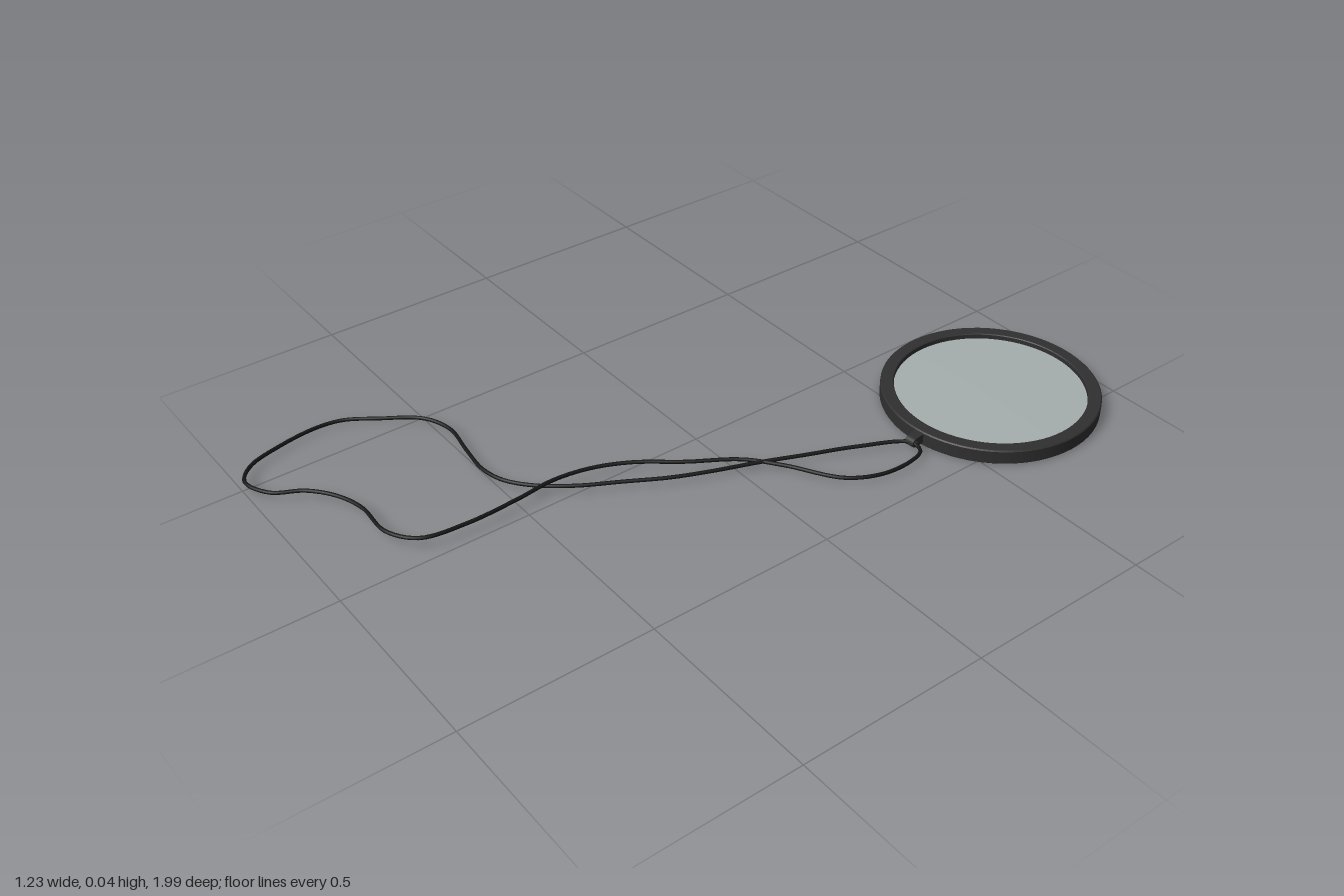
import * as THREE from 'three';
import { toCreasedNormals } from 'three/addons/utils/BufferGeometryUtils.js';

const CENTRE = new THREE.Vector3(0.325, 0, -0.715);

function part(name, geometry, color) {
  const mesh = new THREE.Mesh(geometry, new THREE.MeshStandardMaterial({ color }));
  mesh.name = name;
  return mesh;
}

function lathe(points, segments = 72) {
  const profile = points.map(([r, y]) => new THREE.Vector2(r, y));
  return toCreasedNormals(new THREE.LatheGeometry(profile, segments), 0.6);
}

export function createModel() {
  const model = new THREE.Group();
  model.name = 'eyeglass';

  // Round frame, glass and cord lug share the centre of the lens
  const eyepiece = new THREE.Group();
  eyepiece.name = 'eyepiece';
  eyepiece.position.copy(CENTRE);
  model.add(eyepiece);

  // Frame: a flat-sided ring with tiny bevels
  eyepiece.add(part('rim', lathe([
    [0.25, 0.002], [0.252, 0], [0.282, 0], [0.285, 0.003],
    [0.285, 0.037], [0.282, 0.04], [0.252, 0.04], [0.25, 0.038], [0.25, 0.002],
  ]), 0x303030));

  // Glass: a slightly domed disc seated in the ring
  eyepiece.add(part('lens', lathe([
    [0, 0.011], [0.13, 0.012], [0.252, 0.014],
    [0.252, 0.026], [0.13, 0.028], [0, 0.029],
  ]), 0xa6aeae));

  // Lug: a small pierced block on the edge of the frame
  const outline = new THREE.Shape();
  outline.moveTo(0.278, -0.013);
  outline.lineTo(0.312, -0.013);
  outline.absarc(0.312, 0, 0.013, -Math.PI / 2, Math.PI / 2, false);
  outline.lineTo(0.278, 0.013);
  outline.closePath();
  const eye = new THREE.Path();
  eye.absarc(0.313, 0, 0.007, 0, Math.PI * 2, true);
  outline.holes.push(eye);
  const lugGeometry = new THREE.ExtrudeGeometry(outline, { depth: 0.026, bevelEnabled: false, curveSegments: 10 });
  lugGeometry.translate(0, 0, -0.013);
  const lug = part('cordLug', lugGeometry, 0x303030);
  lug.position.y = 0.022;
  lug.rotation.y = -Math.atan2(0.32, 0.035);
  eyepiece.add(lug);

  // Cord: a closed loose loop through the lug, as x, y, z
  const path = [
    [0.36, 0.021, -0.4], [0.29, 0.02, -0.28], [0.24, 0.02, -0.16], [0.195, 0.021, -0.05],
    [0.15, 0.021, 0.07], [0.11, 0.022, 0.165], [0.055, 0.023, 0.265], [0, 0.024, 0.365],
    [-0.065, 0.023, 0.445], [-0.13, 0.021, 0.49], [-0.2, 0.019, 0.505], [-0.29, 0.018, 0.495],
    [-0.4, 0.016, 0.48], [-0.48, 0.015, 0.51], [-0.55, 0.014, 0.6], [-0.6, 0.013, 0.675],
    [-0.61, 0.014, 0.745], [-0.59, 0.017, 0.86], [-0.555, 0.02, 0.95], [-0.5, 0.022, 0.99],
    [-0.425, 0.023, 0.96], [-0.38, 0.024, 0.89], [-0.315, 0.025, 0.84], [-0.235, 0.027, 0.815],
    [-0.12, 0.029, 0.815], [-0.05, 0.03, 0.765], [-0.03, 0.03, 0.65], [-0.035, 0.03, 0.505],
    [-0.045, 0.03, 0.4], [-0.03, 0.029, 0.3], [0.01, 0.027, 0.205], [0.085, 0.025, 0.1],
    [0.16, 0.022, -0.02], [0.24, 0.019, -0.09], [0.365, 0.017, -0.175], [0.41, 0.017, -0.26],
    [0.415, 0.018, -0.35], [0.4, 0.02, -0.395],
  ].map((p) => new THREE.Vector3(...p));
  const curve = new THREE.CatmullRomCurve3(path, true, 'centripetal');
  model.add(part('cord', new THREE.TubeGeometry(curve, 260, 0.005, 8, true), 0x161616));

  return model;
}
